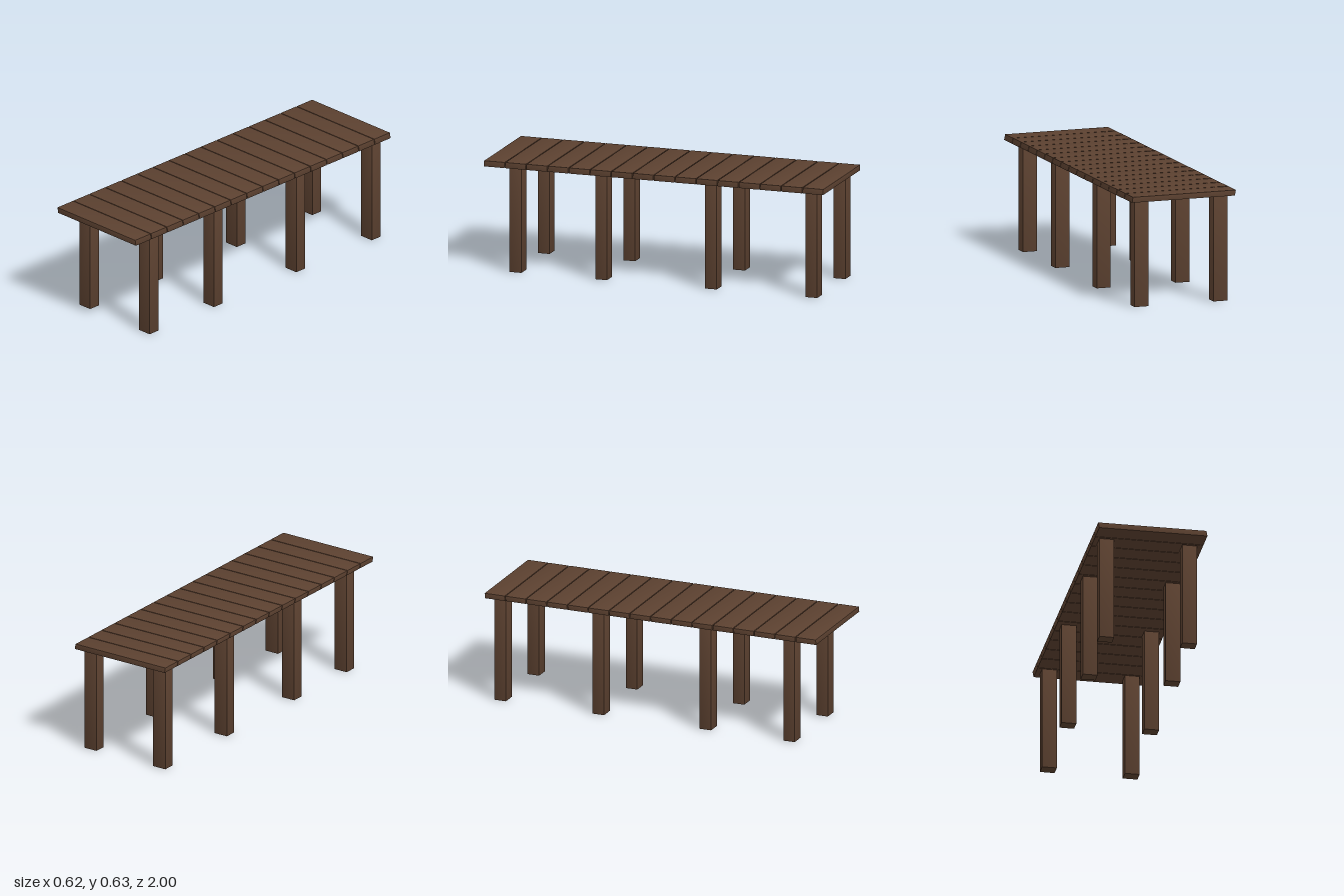
import * as THREE from 'three';

const wood = new THREE.MeshStandardMaterial({ color: 0x5c4130 });
wood.name = 'dark brown wood';

// Box whose normals lean gently towards its corners, for soft hewn-timber shading
function timber(w, h, d, lean, shear = 0) {
  const geo = new THREE.BoxGeometry(w, h, d);
  const pos = geo.attributes.position;
  const nor = geo.attributes.normal;
  const n = new THREE.Vector3();
  for (let i = 0; i < pos.count; i++) {
    const sx = Math.sign(pos.getX(i)), sy = Math.sign(pos.getY(i)), sz = Math.sign(pos.getZ(i));
    n.fromBufferAttribute(nor, i).addScaledVector(new THREE.Vector3(sx, sy, sz), lean).normalize();
    nor.setXYZ(i, n.x, n.y, n.z);
    pos.setX(i, pos.getX(i) - sy * shear); // slanted saw cut at the ends
  }
  return geo;
}

export function createModel() {
  const dock = new THREE.Group();
  dock.name = 'woodenDock';

  function add(name, geo, x, y, z) {
    const mesh = new THREE.Mesh(geo, wood);
    mesh.name = name;
    mesh.position.set(x, y, z);
    dock.add(mesh);
  }

  // Deck: sixteen cross planks with narrow gaps
  const count = 16, gap = 0.005;
  const width = (2 - gap * (count - 1)) / count;
  const plank = timber(0.611, 0.031, width, 0.2, 0.003);
  for (let i = 0; i < count; i++) {
    add('deckPlank' + (i + 1), plank, 0, 0.6155, -1 + width / 2 + i * (width + gap));
  }

  // Four pairs of square posts, unevenly spaced along the deck
  const post = timber(0.083, 0.602, 0.069, 0.25);
  [0.825, 0.32, -0.327, -0.92].forEach((z, i) => {
    add('leftPost' + (i + 1), post, 0.234, 0.301, z);
    add('rightPost' + (i + 1), post, -0.234, 0.301, z);
  });

  return dock;
}
